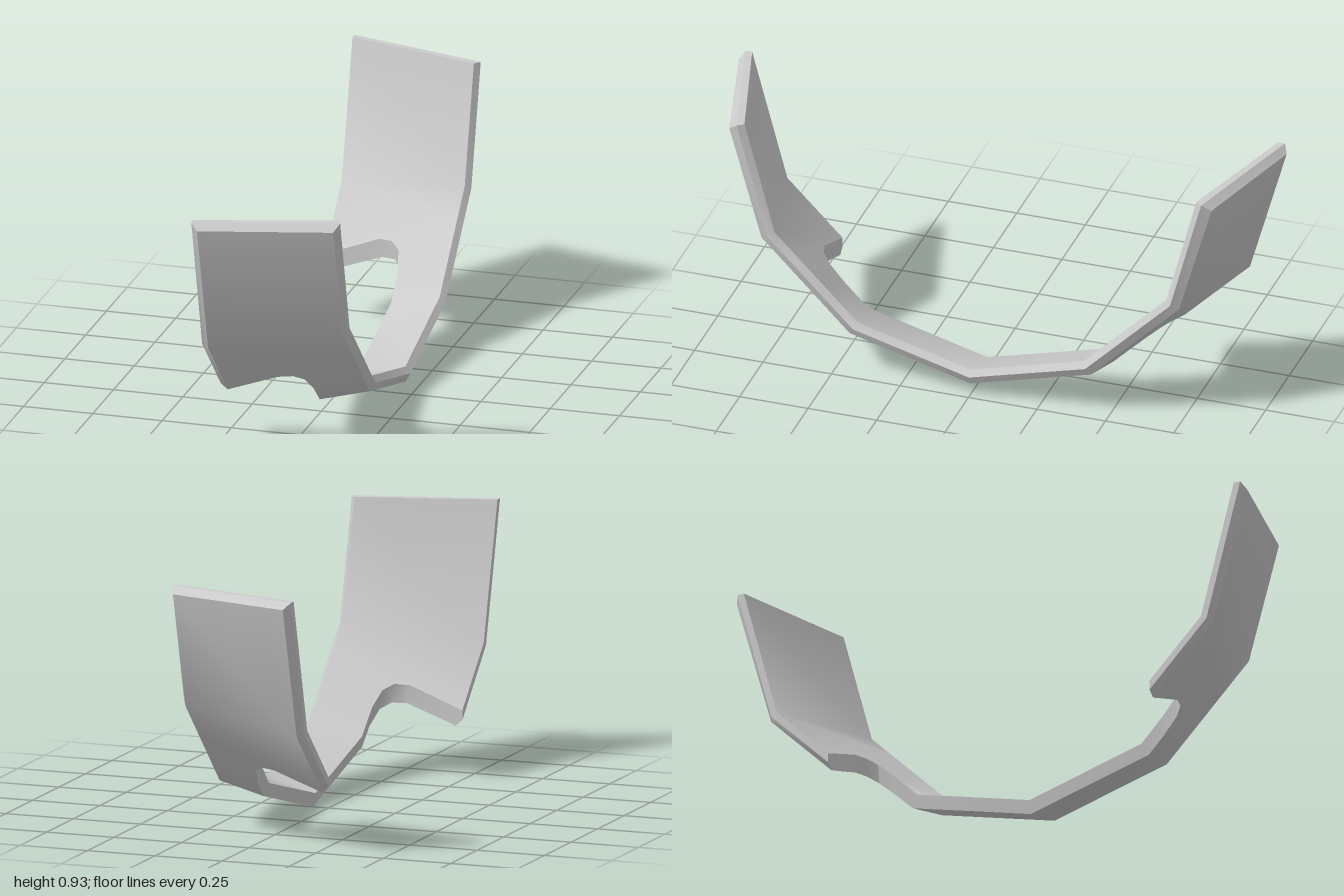
import * as THREE from 'three';
import { toCreasedNormals } from 'three/addons/utils/BufferGeometryUtils.js';

const C = 0.928; // height of the ring axis
const outerR = x => 1 - 0.264 * (x + 0.225);
const innerR = x => 0.96 - 0.282 * (x + 0.25);

// Cross-section ends as [x, radius]: inner, middle, outer
const leftEnd = [[-0.25, 0.96], [-0.25, 0.985], [-0.225, 1]];
const rightEnd = [[0.23, 0.88], [0.246, 0.848], [0.228, 0.825]];
const cutEnd = x => {
  const i = [x - 0.005, innerR(x - 0.005)], o = [x + 0.005, outerR(x + 0.005)];
  return [i, [x, (i[1] + o[1]) / 2], o];
};

// Section at an angle from the bottom of the ring
function angleSection(deg, left) {
  const a = THREE.MathUtils.degToRad(deg);
  return [...left, ...rightEnd].map(([x, r]) =>
    new THREE.Vector3(x, C - r * Math.cos(a), r * Math.sin(a)));
}

// Section at constant z on the 45 degree facet
function facetSection(z, left) {
  return [...left, ...rightEnd].map(([x, r]) =>
    new THREE.Vector3(x, C - (r * Math.cos(Math.PI / 12) * Math.SQRT2 - z), z));
}

export function createModel() {
  // Half of the band, from the top of one arm to the bottom
  const half = [angleSection(90, leftEnd), angleSection(60, leftEnd), facetSection(0.63, leftEnd)];
  for (const [x, z] of [[-0.05, 0.63], [0, 0.614], [0.033, 0.583], [0.049, 0.526]])
    half.push(facetSection(z, cutEnd(x)));
  half.push(angleSection(30, cutEnd(0.052)), angleSection(0, cutEnd(0.052)));
  // Bevelled outer edge of the arm top
  half[0][2].y -= 0.025;
  half[0][3].y -= 0.025;

  // Mirror to the other arm
  const mirrored = half.slice(0, -1).reverse().map(s => s.map(p => new THREE.Vector3(p.x, p.y, -p.z)));
  const rings = [...half, ...mirrored];

  const pos = [];
  const tri = (a, b, c) => {
    const area = b.clone().sub(a).cross(c.clone().sub(a)).length();
    if (area > 1e-6) for (const p of [a, b, c]) pos.push(p.x, p.y, p.z);
  };
  const quad = (a, b, c, d) => { tri(a, b, c); tri(a, c, d); };

  // Skin between neighbouring sections
  for (let i = 0; i < rings.length - 1; i++) {
    const p = rings[i], q = rings[i + 1];
    for (let j = 0; j < 6; j++) {
      const k = (j + 1) % 6;
      quad(p[j], q[j], q[k], p[k]);
    }
  }
  // Arm tops: flat face and bevel
  const s = rings[0], e = rings[rings.length - 1];
  for (const [a, b, c, d] of [[0, 1, 4, 5], [1, 2, 3, 4]]) {
    quad(s[a], s[b], s[c], s[d]);
    quad(e[d], e[c], e[b], e[a]);
  }

  const geo = new THREE.BufferGeometry();
  geo.setAttribute('position', new THREE.Float32BufferAttribute(pos, 3));
  const mesh = new THREE.Mesh(toCreasedNormals(geo, 0.6), new THREE.MeshStandardMaterial({ color: 0xcccccc }));
  mesh.name = 'curvedBand';
  const group = new THREE.Group();
  group.name = 'notchedHalfRing';
  group.add(mesh);
  return group;
}
